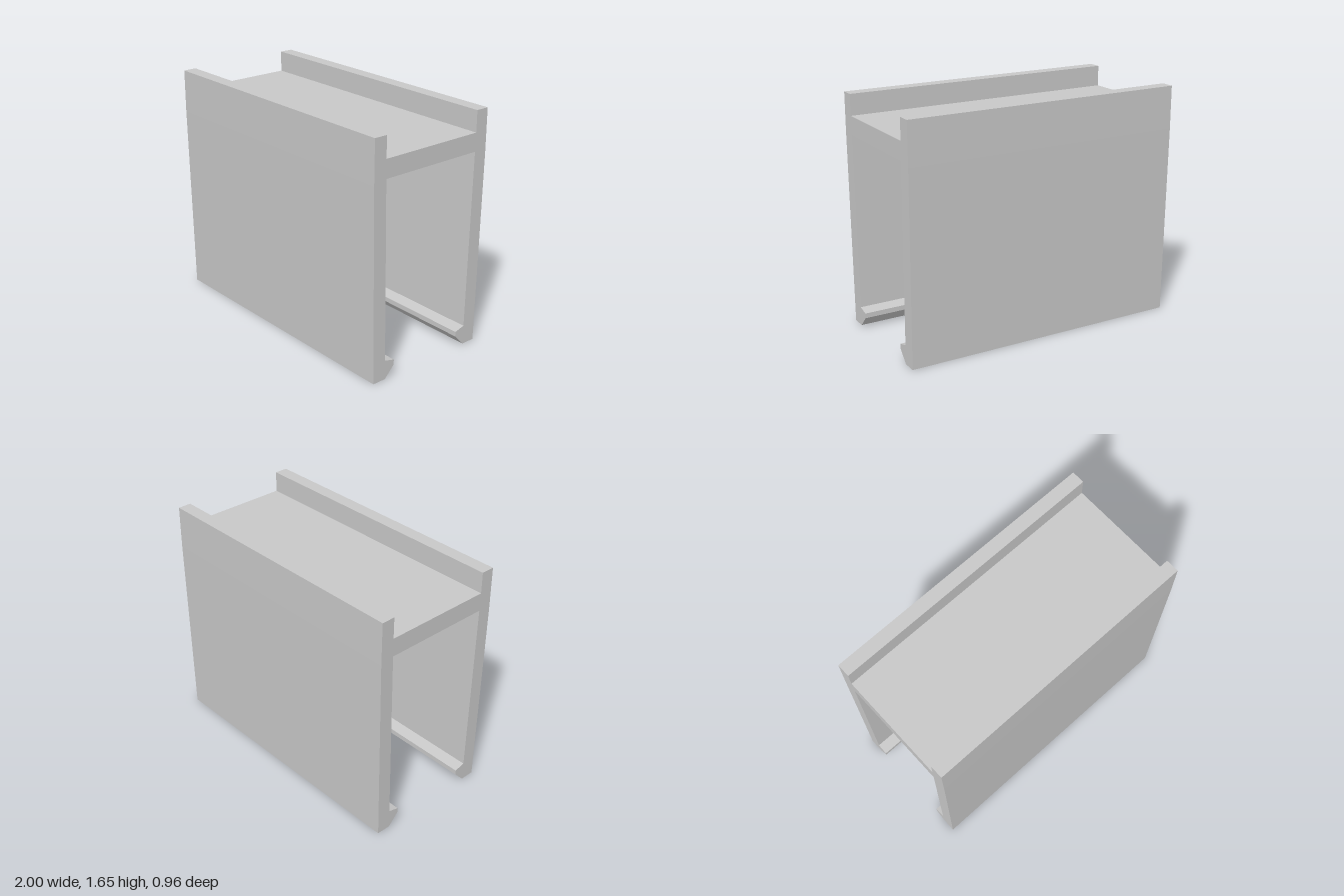
import * as THREE from 'three';

export function createModel() {
  const group = new THREE.Group();
  group.name = 'clipChannel';
  const lightGrey = new THREE.MeshStandardMaterial({ color: 0xc7c7c7 });
  lightGrey.name = 'lightGrey';

  // Half of the cross-section, as (depth, height), from the web's underside
  // down the inner wall, round the hook and up the outer wall to the web's top
  const half = [
    [0.385, 1.373], [0.362, 0.135], [0.285, 0.115], [0.285, 0.08], [0.36, 0],
    [0.46, 0], [0.482, 1.35], [0.482, 1.648], [0.387, 1.648], [0.387, 1.5],
  ];
  const mirrored = half.map(([z, y]) => [-z, y]).reverse();
  const profile = new THREE.Shape([...half, ...mirrored].map(([z, y]) => new THREE.Vector2(z, y)));

  // Extrude the whole section along the channel's length
  const geometry = new THREE.ExtrudeGeometry(profile, { depth: 2, bevelEnabled: false });
  geometry.translate(0, 0, -1);
  geometry.rotateY(-Math.PI / 2);

  const channel = new THREE.Mesh(geometry, lightGrey);
  channel.name = 'channelBody';
  group.add(channel);
  return group;
}
